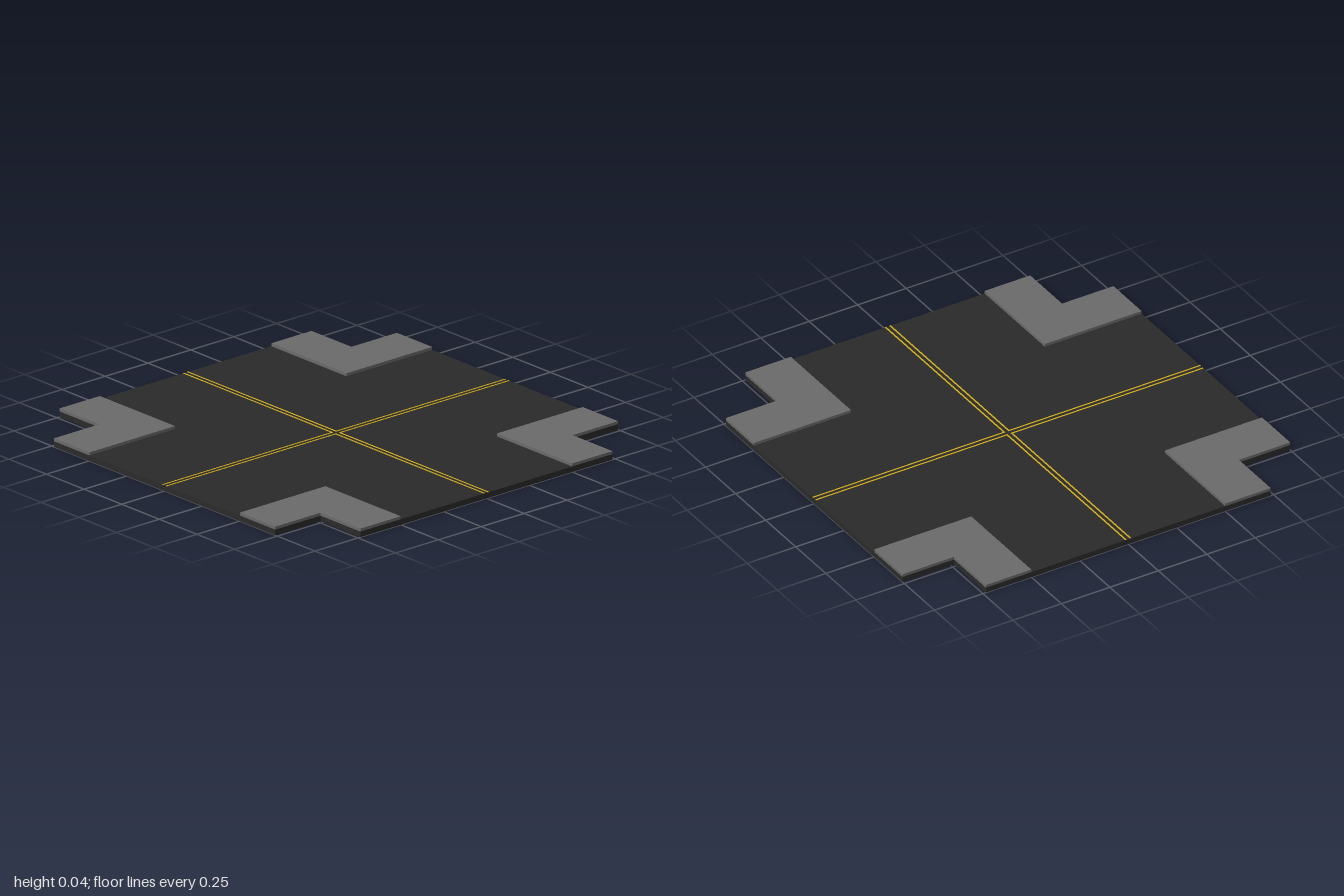
import * as THREE from 'three';

const ROAD_TOP = 0.026, WALK_TOP = 0.04;
const HALF = 1, NOTCH = 0.735, KERB = 0.5;

const asphalt = new THREE.MeshStandardMaterial({ color: 0x2a2a2a });
const concrete = new THREE.MeshStandardMaterial({ color: 0x6a6a6a });
const paint = new THREE.MeshStandardMaterial({ color: 0xd4af1a });

// Flat outline in x/z raised from y0 to y1
function slab(points, y0, y1, material, name) {
  const shape = new THREE.Shape(points.map(([x, z]) => new THREE.Vector2(x, -z)));
  const geometry = new THREE.ExtrudeGeometry(shape, { depth: y1 - y0, bevelEnabled: false });
  geometry.rotateX(-Math.PI / 2).translate(0, y0, 0);
  const mesh = new THREE.Mesh(geometry, material);
  mesh.name = name;
  return mesh;
}

export function createModel() {
  const group = new THREE.Group();
  group.name = 'roadCrossing';

  // Cross-shaped road bed with notched corners
  const h = HALF, n = NOTCH;
  group.add(slab([
    [n, h], [n, n], [h, n], [h, -n], [n, -n], [n, -h],
    [-n, -h], [-n, -n], [-h, -n], [-h, n], [-n, n], [-n, h],
  ], 0, ROAD_TOP, asphalt, 'roadBed'));

  // L-shaped pavement on each corner
  const k = KERB;
  for (const sx of [1, -1]) for (const sz of [1, -1]) {
    const outline = [[k, k], [h, k], [h, n], [n, n], [n, h], [k, h]]
      .map(([x, z]) => [x * sx, z * sz]);
    group.add(slab(outline, ROAD_TOP, WALK_TOP, concrete, 'cornerPavement'));
  }

  // Double centre line on each arm, open where the arms meet
  const offset = 0.012, width = 0.007, start = 0.009;
  for (let arm = 0; arm < 4; arm++) {
    const lines = new THREE.Group();
    lines.name = 'centreLines';
    for (const side of [1, -1]) {
      const line = new THREE.Mesh(new THREE.BoxGeometry(HALF - start, 0.002, width), paint);
      line.position.set((HALF + start) / 2, ROAD_TOP + 0.0005, side * offset);
      line.name = 'centreLine';
      lines.add(line);
    }
    lines.rotation.y = arm * Math.PI / 2;
    group.add(lines);
  }
  return group;
}
